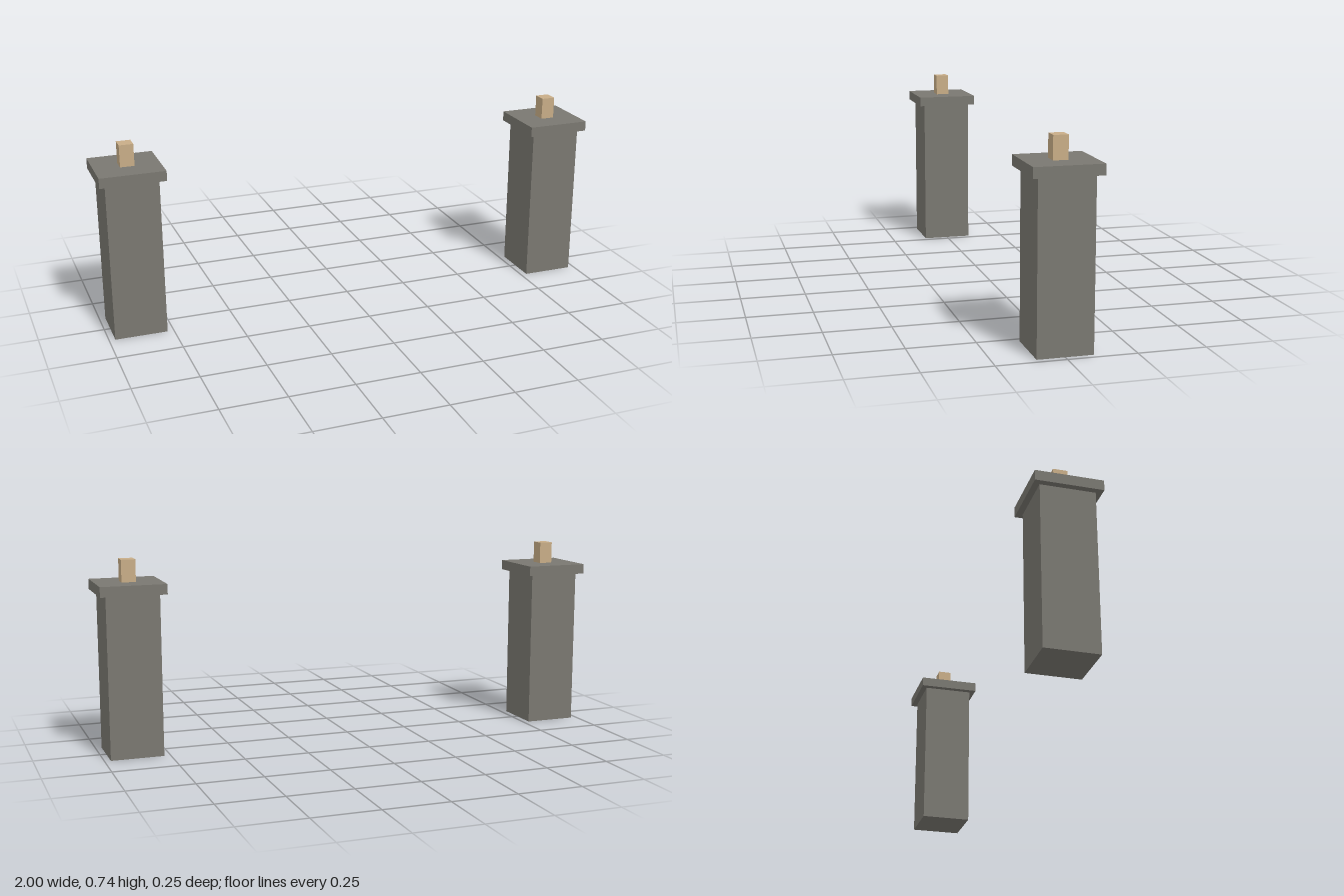
import * as THREE from 'three';

const stone = new THREE.MeshStandardMaterial({ color: 0x7a7871 });
stone.name = 'stone grey';
const lampTan = new THREE.MeshStandardMaterial({ color: 0xc8ad87 });
lampTan.name = 'lamp tan';

// Square block standing on a given height
function block(name, width, bottom, top, material) {
  const geometry = new THREE.BoxGeometry(width, top - bottom, width);
  const mesh = new THREE.Mesh(geometry, material);
  mesh.name = name;
  mesh.position.y = (bottom + top) / 2;
  return mesh;
}

// Gate pillar: shaft, overhanging cap and a small lamp on top
function createPillar(name, x) {
  const pillar = new THREE.Group();
  pillar.name = name;
  pillar.add(
    block('shaft', 0.202, 0, 0.618, stone),
    block('cap', 0.249, 0.618, 0.657, stone),
    block('lamp', 0.054, 0.657, 0.742, lampTan),
  );
  pillar.position.x = x;
  return pillar;
}

export function createModel() {
  const model = new THREE.Group();
  model.name = 'gatePillars';
  model.add(createPillar('leftPillar', 0.8755), createPillar('rightPillar', -0.8755));
  return model;
}
